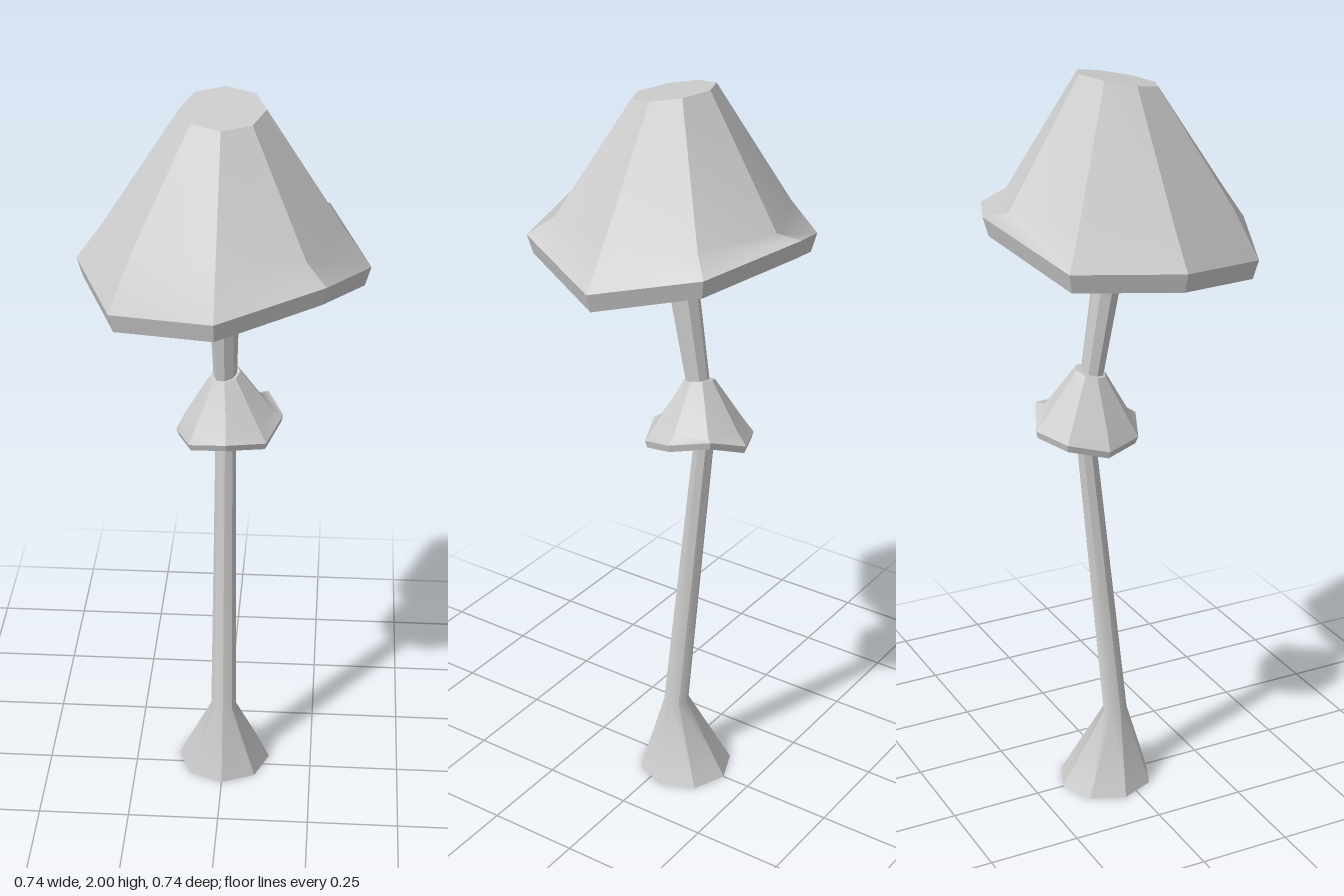
import * as THREE from 'three';
import { mergeGeometries } from 'three/addons/utils/BufferGeometryUtils.js';

const SIDES = 8;
const material = new THREE.MeshStandardMaterial({ color: 0xcccccc, side: THREE.DoubleSide });

// One octagonal cross-section; y may be a number or one height per corner (front, then towards +x)
function ring(r, y, z = 0, tilt = 0) {
  return Array.from({ length: SIDES }, (_, i) => {
    const a = (i / SIDES) * Math.PI * 2;
    const dz = r * Math.cos(a);
    return [r * Math.sin(a), (Array.isArray(y) ? y[i] : y) + tilt * dz, z + dz];
  });
}

// Skin a list of rings, top to bottom along the outside; each side is smooth lengthwise, sharp to its neighbours
function loft(...rings) {
  const positions = [], index = [];
  for (let i = 0; i < SIDES; i++) {
    rings.forEach((points, k) => {
      const a = positions.length / 3;
      positions.push(...points[i], ...points[(i + 1) % SIDES]);
      if (k < rings.length - 1) index.push(a, a + 2, a + 3, a, a + 3, a + 1);
    });
  }
  const geometry = new THREE.BufferGeometry();
  geometry.setAttribute('position', new THREE.Float32BufferAttribute(positions, 3));
  geometry.setIndex(index);
  geometry.computeVertexNormals();
  return geometry;
}

function part(name, geometry) {
  const mesh = new THREE.Mesh(geometry, material);
  mesh.name = name;
  return mesh;
}

export function createModel() {
  const group = new THREE.Group();
  group.name = 'mushroom';

  // Bent stalk with a flared, open foot
  group.add(part('stalk', loft(
    ring(0.045, 1.69, 0),
    ring(0.041, 1.53, -0.02),
    ring(0.031, 1.22, -0.074),
    ring(0.027, 1.07, -0.096),
    ring(0.035, 0.21, -0.008),
    ring(0.13, 0, -0.04),
  )));

  // Hollow cap with an uneven rim; heights are measured from its crown
  const crown = ring(0.105, 0, 0, -0.19);
  const rim = [-0.4, -0.345, -0.405, -0.345, -0.305, -0.395, -0.4, -0.432];
  const upperRim = ring(0.37, rim);
  const lowerRim = ring(0.355, rim.map((y) => y - 0.05));
  const ceiling = ring(0.27, -0.3);
  const capGeometry = mergeGeometries([
    loft(ring(0, 0), crown),
    loft(crown, ring(0.3, -0.302), upperRim),
    loft(upperRim, lowerRim),
    loft(lowerRim, ceiling),
    loft(ceiling, ring(0, -0.3)),
  ]);
  const cap = part('cap', capGeometry);
  cap.position.y = 1.98;
  group.add(cap);

  // Skirt: a small turned and tilted repeat of the cap around the stalk
  const skirt = part('skirt', capGeometry);
  skirt.scale.setScalar(0.39);
  skirt.position.set(0, 1.226, -0.078);
  skirt.rotation.set(0.06, -Math.PI / 4, 0.07, 'XZY');
  group.add(skirt);

  return group;
}
